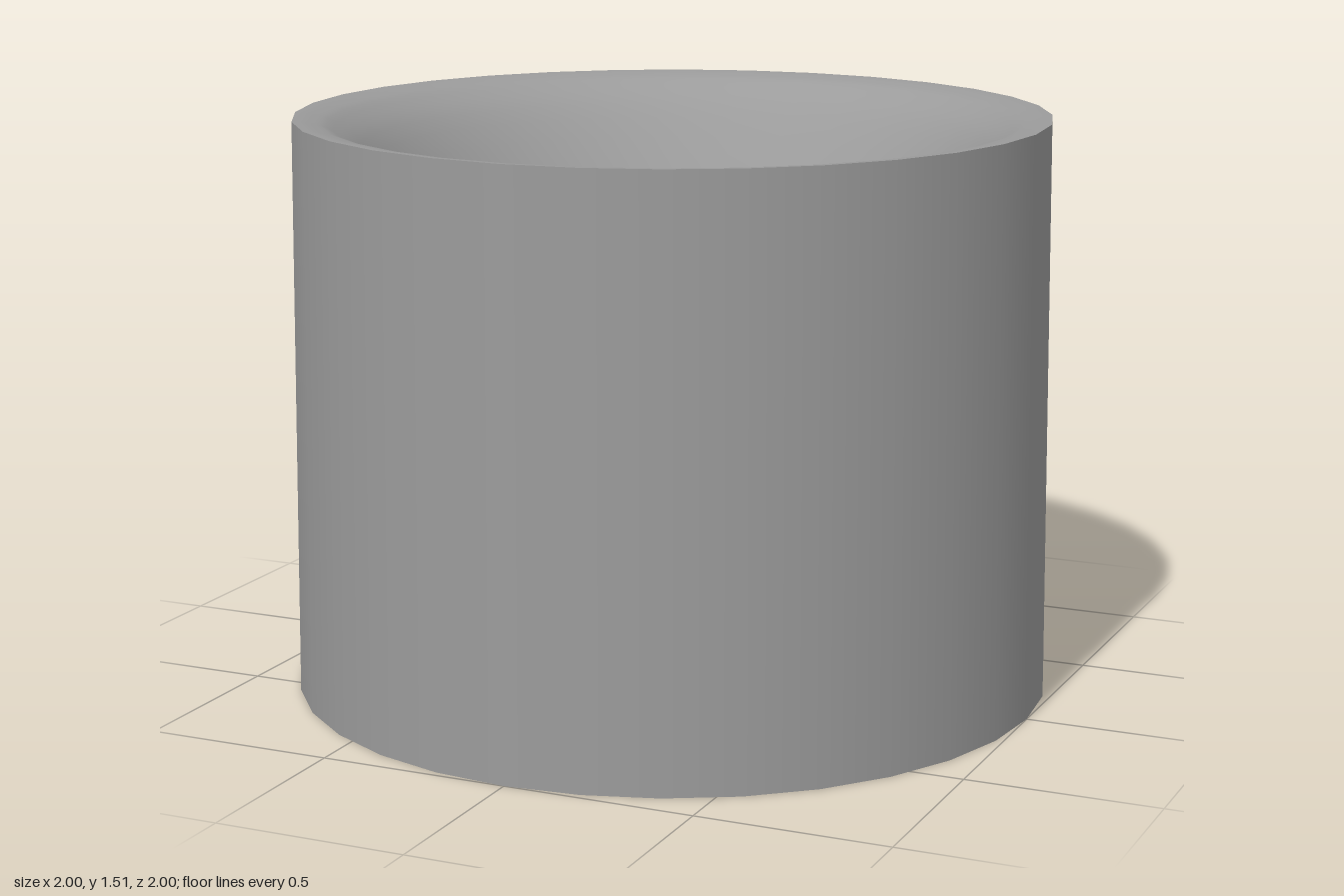
import * as THREE from 'three';

const SIDES = 32;
const HEIGHT = 1.515;
const TOP_R = 0.985;

// Funnel profile from the rim in and down to the floor: [radius, depth]
const FUNNEL = [
  [TOP_R, 0], [0.94, 0.005], [0.88, 0.026], [0.78, 0.112], [0.6, 0.375],
  [0.4, 0.75], [0.25, 1.02], [0.16, 1.145], [0.105, 1.195], [0.065, 1.218],
];

export function createModel() {
  const group = new THREE.Group();
  group.name = 'funnelBlock';
  const material = new THREE.MeshStandardMaterial({ color: 0x9b9b9b, side: THREE.DoubleSide });
  const add = (name, geometry, y = 0) => {
    const mesh = new THREE.Mesh(geometry, material);
    mesh.name = name;
    mesh.position.y = y;
    group.add(mesh);
  };

  // slightly tapered outer wall
  add('outerWall', new THREE.CylinderGeometry(TOP_R, 1, HEIGHT, SIDES, 1, true), HEIGHT / 2);

  // closed base
  add('base', new THREE.CircleGeometry(1, SIDES).rotateX(Math.PI / 2));

  // smooth funnel hollow with its rolled lip
  const curve = new THREE.SplineCurve(FUNNEL.map(([r, d]) => new THREE.Vector2(r, HEIGHT - d)));
  const profile = curve.getPoints(36);
  add('funnel', new THREE.LatheGeometry(profile, SIDES));

  // small flat floor of the funnel
  const floor = profile[profile.length - 1];
  add('funnelFloor', new THREE.CircleGeometry(floor.x, SIDES).rotateX(-Math.PI / 2), floor.y);

  return group;
}
